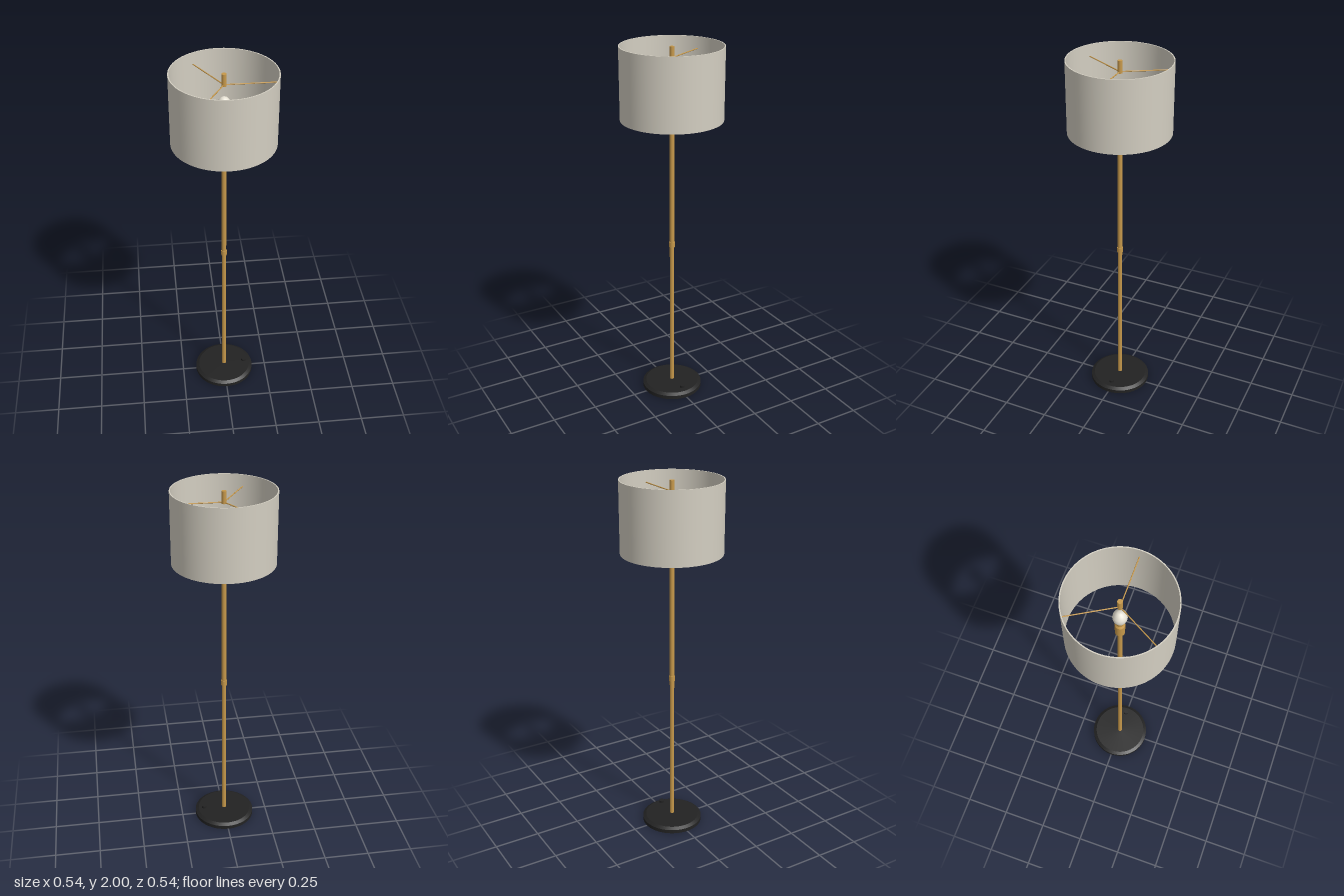
import * as THREE from 'three';

const mat = (name, color, side = THREE.FrontSide) => {
  const m = new THREE.MeshStandardMaterial({ color, side });
  m.name = name;
  return m;
};

export function createModel() {
  const lamp = new THREE.Group();
  lamp.name = 'floorLamp';
  const brass = mat('brass', 0xc6984a);
  const black = mat('black', 0x222222);
  const fabric = mat('fabric', 0xd3cec1, THREE.DoubleSide);
  const glass = mat('bulbGlass', 0xf0ebdd);

  const add = (name, geometry, material, x = 0, y = 0) => {
    const mesh = new THREE.Mesh(geometry, material);
    mesh.name = name;
    mesh.position.set(x, y, 0);
    lamp.add(mesh);
    return mesh;
  };
  // Upright cylinder between two heights
  const rod = (name, r, y0, y1, material, x = 0) =>
    add(name, new THREE.CylinderGeometry(r, r, y1 - y0, 32), material, x, (y0 + y1) / 2);
  // Lathe with hard edges: every profile segment gets its own points
  const turned = (name, profile, material, segments = 64) => {
    const group = new THREE.Group();
    group.name = name;
    for (let i = 0; i < profile.length - 1; i++) {
      const pts = [profile[i], profile[i + 1]].map(p => new THREE.Vector2(p[0], p[1]));
      const mesh = new THREE.Mesh(new THREE.LatheGeometry(pts, segments), material);
      mesh.name = name + 'Face' + (i + 1);
      group.add(mesh);
    }
    lamp.add(group);
  };

  // Weighted base with a bevelled rim, and the foot switch
  turned('base', [[0, 0], [0.17, 0], [0.17, 0.021], [0.152, 0.032], [0, 0.036]], black);
  rod('footSwitch', 0.014, 0.041, 0.054, black, 0.12);

  // Pole with its joint collar
  rod('pole', 0.0125, 0.03, 1.68, brass);
  rod('poleCollar', 0.0155, 0.885, 0.915, brass);

  // Socket and bulb
  turned('socket', [[0, 1.65], [0.022, 1.65], [0.025, 1.656], [0.025, 1.74],
    [0.018, 1.75], [0.018, 1.77], [0, 1.77]], brass, 32);
  const bulb = [[0.017, 1.765], [0.022, 1.78], [0.033, 1.805], [0.036, 1.825],
    [0.033, 1.845], [0.021, 1.863], [0.01, 1.869], [0, 1.87]];
  add('bulb', new THREE.LatheGeometry(bulb.map(p => new THREE.Vector2(p[0], p[1])), 32), glass);

  // Drum shade, a thin tube open at both ends
  turned('shade', [[0.266, 1.615], [0.272, 1.615], [0.272, 2], [0.266, 2], [0.266, 1.615]], fabric);

  // Three-armed shade carrier with a central finial
  rod('finial', 0.0125, 1.93, 1.995, brass);
  for (let i = 0; i < 3; i++) {
    const arm = new THREE.CylinderGeometry(0.003, 0.003, 0.267, 10);
    arm.rotateZ(-Math.PI / 2).translate(0.1335, 0, 0).rotateY(i * Math.PI * 2 / 3);
    add('shadeArm' + (i + 1), arm, brass, 0, 1.937);
  }
  return lamp;
}
